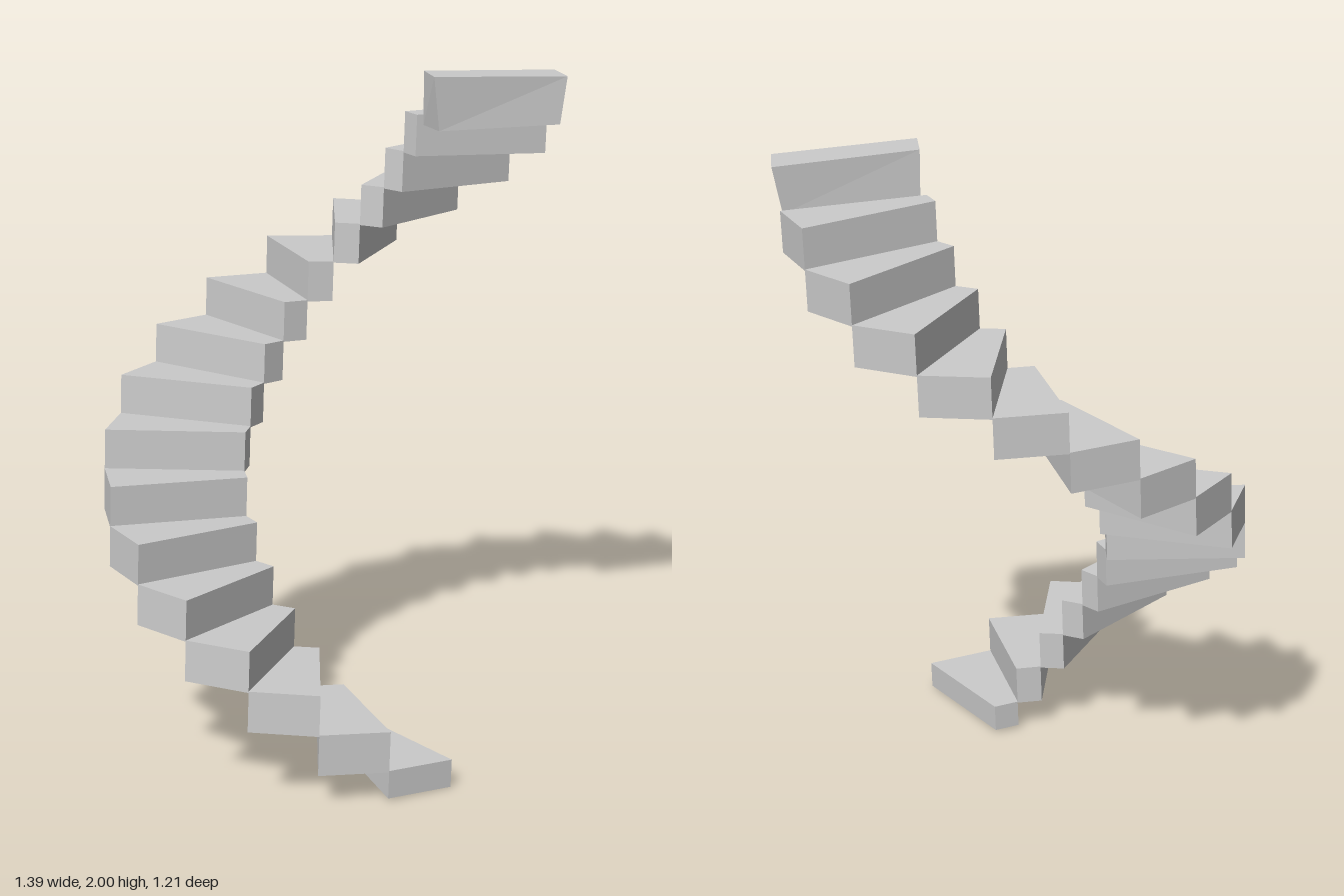
import * as THREE from 'three';

const STEPS = 16;      // regular wedge steps, plus a landing plank on top
const RISE = 0.119;
const material = new THREE.MeshStandardMaterial({ color: 0xcccccc, flatShading: true });

// Whole stair leans slightly: shear a point on the upright spiral
function lean(x, y, z) {
  return [x + 0.04 * (y - 1), y - 0.0367 * x - 0.0167 * z, z];
}

// Corner k of the slightly oval spiral, on its outer or inner edge
function spiralCorner(k, outer, y) {
  const t = (k * Math.PI) / 10;
  const a = outer ? 0.667 : 0.25;
  const b = outer ? 0.605 : 0.218;
  const z = b * Math.cos(t) + 0.012 * a * Math.sin(t) + 0.006;
  const x = -a * Math.sin(t) + 0.065 * z - 0.015;
  return lean(x, y, z);
}

// Box whose corners are placed by a rule: (outer, top, next) => [x, y, z]
function block(name, corner) {
  const geometry = new THREE.BoxGeometry(1, 1, 1);
  const p = geometry.attributes.position;
  for (let i = 0; i < p.count; i++) {
    p.setXYZ(i, ...corner(p.getX(i) > 0, p.getY(i) > 0, p.getZ(i) > 0));
  }
  geometry.computeVertexNormals();
  const mesh = new THREE.Mesh(geometry, material);
  mesh.name = name;
  return mesh;
}

export function createModel() {
  const group = new THREE.Group();
  group.name = 'spiralStaircase';

  // Wedge steps climbing around the open centre; the lowest one is thinner
  for (let k = 0; k < STEPS; k++) {
    const top = 0.094 + k * RISE;
    const bottom = k === 0 ? 0.0095 : top - RISE - 0.004;
    group.add(block('step' + (k + 1), (outer, up, next) =>
      spiralCorner(k + (next ? 1 : 0), outer, up ? top : bottom)));
  }

  // Top plank: taller, narrower, with ends flaring outward towards the top
  group.add(block('topStep', (outer, up, next) => {
    const z = outer ? (next ? 0.315 : 0.192) : (next ? 0.197 : 0.085);
    if (up) return [outer ? (next ? 0.63 : 0.685) : (next ? 0.225 : 0.275), outer ? 1.98 : 2, z];
    return [outer ? (next ? 0.605 : 0.655) : (next ? 0.245 : 0.275), 1.84, z];
  }));

  return group;
}
